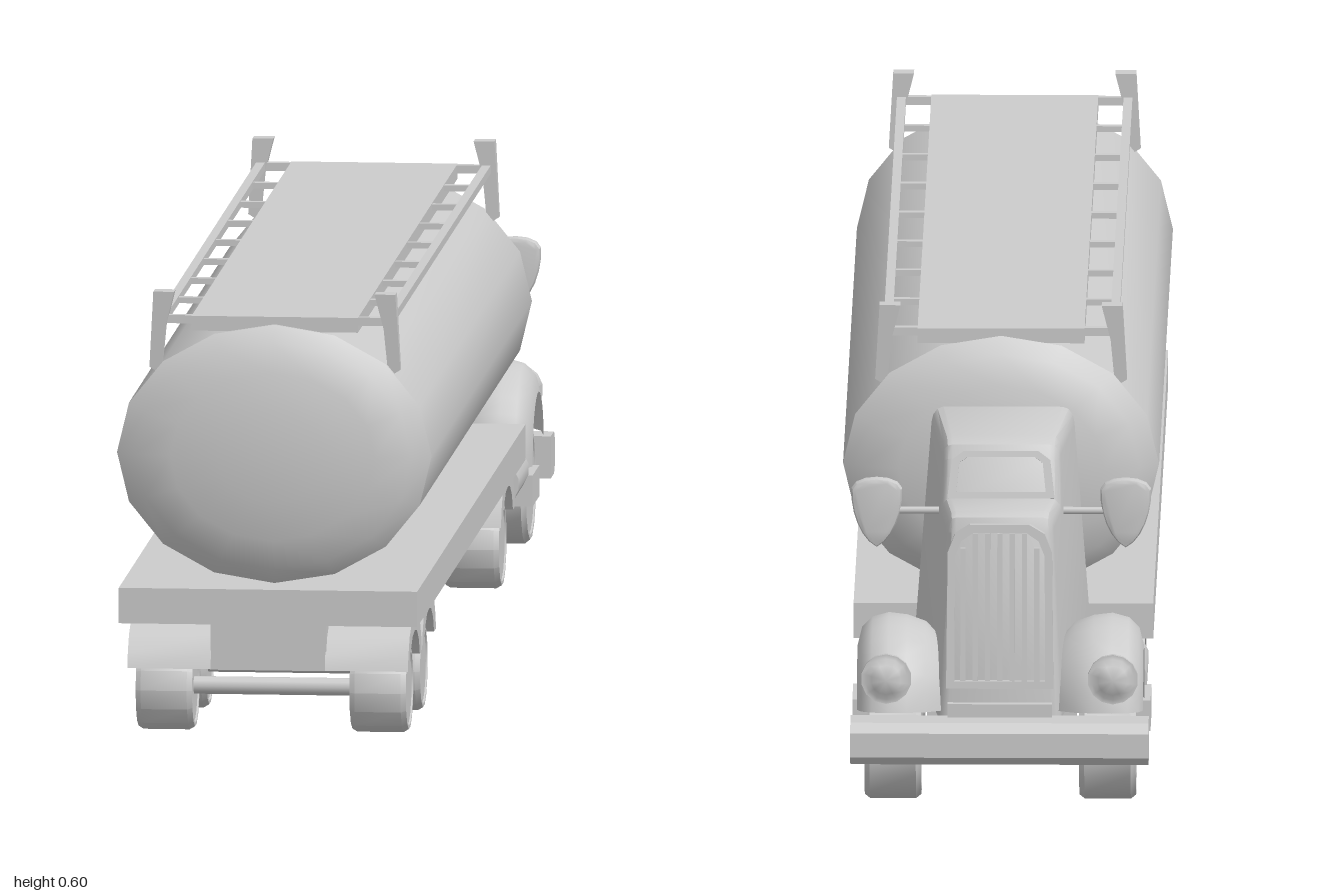
import * as THREE from 'three';
import { toCreasedNormals } from 'three/addons/utils/BufferGeometryUtils.js';

const material = new THREE.MeshStandardMaterial({ color: 0xcccccc, side: THREE.DoubleSide });

function add(parent, name, geometry, x = 0, y = 0, z = 0) {
  const mesh = new THREE.Mesh(geometry, material);
  mesh.name = name;
  mesh.position.set(x, y, z);
  parent.add(mesh);
  return mesh;
}

// Box given by its limits on each axis
function block(parent, name, [x0, x1], [y0, y1], [z0, z1]) {
  const geometry = new THREE.BoxGeometry(x1 - x0, y1 - y0, z1 - z0);
  return add(parent, name, geometry, (x0 + x1) / 2, (y0 + y1) / 2, (z0 + z1) / 2);
}

const points = (list) => list.map(([a, b]) => new THREE.Vector2(a, b));

// Side profile of [z, y] points, extruded across x and centred
function sideExtrude(profile, width, bevel = 0) {
  const geometry = new THREE.ExtrudeGeometry(new THREE.Shape(points(profile)), {
    depth: width - 2 * bevel, bevelEnabled: bevel > 0, bevelSize: bevel,
    bevelThickness: bevel, bevelOffset: -bevel, bevelSegments: 3,
  });
  return geometry.translate(0, 0, bevel - width / 2).rotateY(-Math.PI / 2);
}

// Profile of [radius, x] points turned about the x axis
function turnX(profile, segments, start = 0, length = Math.PI * 2) {
  const geometry = new THREE.LatheGeometry(points(profile), segments, start, length);
  return toCreasedNormals(geometry.rotateZ(-Math.PI / 2), 0.65);
}

function wheel(parent, side, r, y, z) {
  const geometry = turnX([[0, -0.036], [r * 0.82, -0.036], [r * 0.85, -0.038], [r * 0.93, -0.038],
    [r, -0.031], [r, 0.031], [r * 0.93, 0.038], [r * 0.85, 0.038], [r * 0.82, 0.036], [0, 0.036]], 14);
  add(parent, 'wheel', geometry, side * 0.144, y, z);
}

// Wheel pair with arched mudguards, axle and centre frame
function smallAxle(parent, z) {
  const outer = [[-0.1, 0.1], [-0.093, 0.12], [-0.075, 0.143], [-0.045, 0.158], [0, 0.163],
    [0.045, 0.158], [0.075, 0.143], [0.093, 0.12], [0.1, 0.1]];
  const inner = [[0.072, 0.1], [0.058, 0.122], [0.03, 0.138], [0, 0.142],
    [-0.03, 0.138], [-0.058, 0.122], [-0.072, 0.1]];
  for (const side of [-1, 1]) {
    wheel(parent, side, 0.06, 0.064, z);
    add(parent, 'mudguard', toCreasedNormals(sideExtrude([...outer, ...inner], 0.112), 0.5), side * 0.133, 0, z);
  }
  const axle = new THREE.CylinderGeometry(0.012, 0.012, 0.24, 10).rotateZ(Math.PI / 2);
  add(parent, 'axle', axle, 0, 0.064, z);
  block(parent, 'axleFrame', [-0.078, 0.078], [0.098, 0.162], [z - 0.09, z + 0.09]);
}

function buildTank(parent) {
  const profile = [[0, -0.543], [0.35, -0.54], [0.65, -0.531], [0.88, -0.516], [1, -0.495],
    [1, 0.95], [0.88, 0.968], [0.65, 0.981], [0.35, 0.989], [0, 0.992]];
  const shell = new THREE.LatheGeometry(points(profile), 16).rotateX(Math.PI / 2);
  shell.scale(0.212, 0.175, 1);
  shell.computeVertexNormals();
  // Radii are normalised, so only the shoulder edges stay sharp
  add(parent, 'tankShell', toCreasedNormals(shell, 0.7), 0, 0.385, 0);

  block(parent, 'walkway', [-0.112, 0.112], [0.55, 0.57], [-0.495, 0.945]);
  for (const side of [-1, 1]) {
    add(parent, 'rail', new THREE.BoxGeometry(0.012, 0.011, 1.42), side * 0.152, 0.565, 0.225);
    for (let i = 0; i < 7; i++) {
      add(parent, 'railBracket', new THREE.BoxGeometry(0.045, 0.008, 0.011), side * 0.13, 0.565, -0.305 + i * 0.178);
    }
    // Flared corner posts
    for (const [z, lean] of [[0.935, 1], [-0.485, -1]]) {
      block(parent, 'railEndBar', [side * 0.132 - 0.022, side * 0.132 + 0.022], [0.559, 0.57], [z - 0.006, z + 0.006]);
      const shape = new THREE.Shape(points([[0.153, 0.49], [0.169, 0.5], [0.163, 0.603], [0.135, 0.603], [0.147, 0.555]]));
      const post = new THREE.ExtrudeGeometry(shape, { depth: 0.022, bevelEnabled: false }).translate(0, 0, -0.011);
      const p = post.attributes.position;
      for (let i = 0; i < p.count; i++) {
        const taper = THREE.MathUtils.mapLinear(p.getY(i), 0.49, 0.603, 0.5, 1.1);
        p.setXYZ(i, p.getX(i), p.getY(i), p.getZ(i) * taper + lean * 0.004 * taper);
      }
      post.computeVertexNormals();
      add(parent, 'railPost', post, 0, 0, z).rotation.y = 0;
      if (side < 0) {
        const mesh = parent.children[parent.children.length - 1];
        mesh.scale.x = -1;
      }
    }
  }
}

function buildCab(parent) {
  // Cab and bonnet in one profile, narrowing upward and toward the nose
  const profile = [[-0.585, 0.12], [-0.585, 0.475], [-0.595, 0.485], [-0.77, 0.485], [-0.793, 0.477],
    [-0.804, 0.46], [-0.822, 0.41], [-0.9, 0.41], [-0.916, 0.404], [-0.924, 0.385], [-0.938, 0.2], [-0.938, 0.12]];
  const body = sideExtrude(profile.reverse(), 0.25, 0.02);
  const p = body.attributes.position;
  for (let i = 0; i < p.count; i++) {
    const nose = THREE.MathUtils.mapLinear(p.getZ(i), -0.585, -0.938, 1, 0.66);
    const top = THREE.MathUtils.mapLinear(p.getY(i), 0.12, 0.485, 1, 0.77);
    p.setX(i, p.getX(i) * nose * top);
  }
  body.computeVertexNormals();
  add(parent, 'cabBody', toCreasedNormals(body, 0.55));

  // Windscreen frame
  const frameShape = new THREE.Shape(points([[-0.072, -0.032], [0.072, -0.032], [0.066, 0.02], [0.05, 0.032],
    [-0.05, 0.032], [-0.066, 0.02]]));
  frameShape.holes.push(new THREE.Path(points([[-0.06, -0.023], [-0.056, 0.016], [-0.045, 0.024],
    [0.045, 0.024], [0.056, 0.016], [0.06, -0.023]])));
  const frame = new THREE.ExtrudeGeometry(frameShape, { depth: 0.012, bevelEnabled: false }).rotateY(Math.PI);
  add(parent, 'windscreenFrame', frame, 0, 0.438, -0.806).rotation.x = 0.25;

  // Grille surround and upright bars
  const grille = new THREE.Group();
  grille.name = 'grille';
  grille.position.set(0, 0.285, -0.928);
  grille.rotation.x = 0.07;
  parent.add(grille);
  const surround = new THREE.Shape(points([[-0.072, -0.11], [0.072, -0.11], [0.07, 0.075], [0.06, 0.1],
    [0.04, 0.112], [-0.04, 0.112], [-0.06, 0.1], [-0.07, 0.075]]));
  surround.holes.push(new THREE.Path(points([[-0.061, -0.1], [-0.06, 0.07], [-0.052, 0.09], [-0.036, 0.101],
    [0.036, 0.101], [0.052, 0.09], [0.06, 0.07], [0.061, -0.1]])));
  add(grille, 'grilleSurround', new THREE.ExtrudeGeometry(surround, { depth: 0.014, bevelEnabled: false }).rotateY(Math.PI));
  for (let i = -3; i <= 3; i++) {
    const height = Math.abs(i) === 3 ? 0.18 : 0.2;
    add(grille, 'grilleBar', new THREE.BoxGeometry(0.007, height, 0.012), i * 0.0165, -0.1 + height / 2, -0.006);
  }

  for (const side of [-1, 1]) {
    // Rounded front mudguard
    const section = [[0.085, -0.075], [0.112, -0.05], [0.121, -0.025], [0.124, 0], [0.118, 0.022], [0.104, 0.036], [0.08, 0.042]];
    const guard = turnX(section, 14, Math.PI + 0.12, Math.PI);
    guard.scale(side, 1, 1);
    if (side < 0) { // restore outward corner order after mirroring
      const index = [];
      for (let i = 0; i < guard.attributes.position.count; i += 3) index.push(i, i + 2, i + 1);
      guard.setIndex(index);
    }
    add(parent, 'frontMudguard', guard, side * 0.15, 0.131, -0.842);
    wheel(parent, side, 0.08, 0.085, -0.847);

    // Headlight
    const lamp = new THREE.LatheGeometry(points([[0, -0.03], [0.02, -0.024], [0.031, -0.008], [0.034, 0.006],
      [0.034, 0.012], [0.028, 0.012], [0.02, 0.018], [0, 0.022]]), 14).rotateX(-Math.PI / 2);
    add(parent, 'headlight', toCreasedNormals(lamp, 0.7), side * 0.152, 0.195, -0.964);

    // Mirror on its arm
    const arm = new THREE.CylinderGeometry(0.005, 0.005, 0.09, 8).rotateZ(Math.PI / 2);
    add(parent, 'mirrorArm', arm, side * 0.12, 0.385, -0.785);
    const outline = new THREE.Shape();
    outline.moveTo(0, -0.05);
    outline.bezierCurveTo(0.022, -0.04, 0.036, 0, 0.034, 0.03);
    outline.bezierCurveTo(0.03, 0.05, -0.03, 0.05, -0.034, 0.03);
    outline.bezierCurveTo(-0.036, 0, -0.022, -0.04, 0, -0.05);
    const mirror = new THREE.ExtrudeGeometry(outline, { depth: 0.006, curveSegments: 6, bevelSize: 0.006,
      bevelThickness: 0.006, bevelOffset: -0.006, bevelSegments: 2 });
    add(parent, 'mirror', toCreasedNormals(mirror, 0.6), side * 0.167, 0.385, -0.788);

    // Side step and fuel cylinder
    block(parent, 'step', [side * 0.155 - 0.045, side * 0.155 + 0.045], [0.08, 0.122], [-0.775, -0.675]);
    const fuel = new THREE.CylinderGeometry(0.032, 0.032, 0.145, 14).rotateX(Math.PI / 2);
    add(parent, 'fuelCylinder', fuel, side * 0.163, 0.13, -0.608);
  }

  const bumper = sideExtrude([[-0.938, 0.08], [-0.938, 0.137], [-0.985, 0.137], [-0.998, 0.125],
    [-0.998, 0.092], [-0.985, 0.08]].reverse(), 0.4);
  add(parent, 'bumper', bumper);
  block(parent, 'cabChassis', [-0.1, 0.1], [0.078, 0.135], [-0.775, -0.66]);
  block(parent, 'chassisBeam', [-0.07, 0.07], [0.095, 0.155], [-0.95, -0.5]);
  add(parent, 'frontAxle', new THREE.CylinderGeometry(0.014, 0.014, 0.25, 10).rotateZ(Math.PI / 2), 0, 0.085, -0.847);
}

export function createModel() {
  const model = new THREE.Group();
  model.name = 'tankerTruck';

  const tank = new THREE.Group();
  tank.name = 'tank';
  model.add(tank);
  buildTank(tank);

  const chassis = new THREE.Group();
  chassis.name = 'chassis';
  chassis.position.x = -0.004;
  model.add(chassis);
  block(chassis, 'flatbed', [-0.201, 0.201], [0.16, 0.208], [-0.565, 1]);
  for (const z of [0.905, 0.7, -0.437]) smallAxle(chassis, z);

  const cab = new THREE.Group();
  cab.name = 'cab';
  cab.position.x = -0.004;
  model.add(cab);
  buildCab(cab);
  return model;
}
